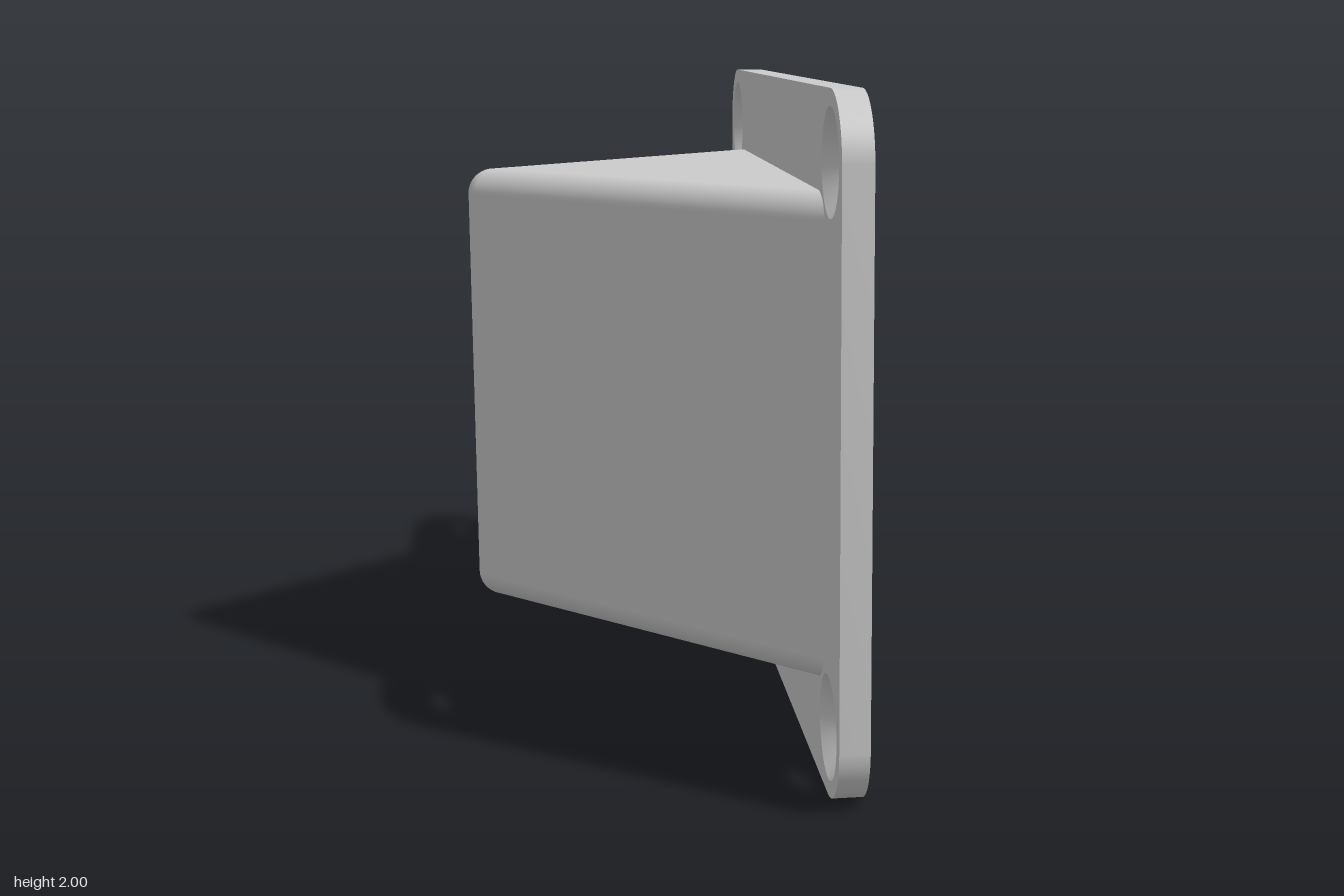
import * as THREE from 'three';
import { toCreasedNormals, mergeGeometries } from 'three/addons/utils/BufferGeometryUtils.js';

const ANGLE = THREE.MathUtils.degToRad(43.7);       // slant of the plate seen from above
const HALF_W = 1.321, HALF_H = 1, T = 0.088;        // plate half sizes and thickness
const CORNER = 0.2, HOLE_R = 0.08, SINK_R = 0.152, SINK_DEPTH = 0.072;
const LEFT = -0.78, FRONT = 0.74, BOTTOM = 0.29, TOP = 1.71, FILLET = 0.08; // wedge body
const BORE = { y: 1, z: 0.06, r: 0.42, depth: 0.33 };

const material = new THREE.MeshStandardMaterial({ color: 0xcccccc, side: THREE.DoubleSide });

function add(parent, name, geometry) {
  const mesh = new THREE.Mesh(geometry, material);
  mesh.name = name;
  parent.add(mesh);
  return mesh;
}

const screwCentres = [];
for (const sx of [-1, 1])
  for (const sy of [-1, 1]) screwCentres.push([sx * (HALF_W - CORNER), sy * (HALF_H - CORNER)]);

// Rounded rectangle, optionally pierced by the four screw holes
function plateShape(holeRadius) {
  const s = new THREE.Shape();
  const x = HALF_W - CORNER, y = HALF_H - CORNER;
  s.absarc(x, y, CORNER, 0, Math.PI / 2);
  s.absarc(-x, y, CORNER, Math.PI / 2, Math.PI);
  s.absarc(-x, -y, CORNER, Math.PI, Math.PI * 1.5);
  s.absarc(x, -y, CORNER, Math.PI * 1.5, Math.PI * 2);
  s.closePath();
  for (const [cx, cy] of screwCentres)
    s.holes.push(new THREE.Path().absarc(cx, cy, holeRadius, 0, Math.PI * 2, true));
  return s;
}

// Outer rim of the plate, swept from back to front
function rimGeometry() {
  const outline = plateShape(HOLE_R).getPoints(16);
  const pos = [];
  outline.forEach((p, i) => {
    const q = outline[(i + 1) % outline.length];
    if (p.distanceTo(q) < 1e-6) return;
    const h = T / 2;
    pos.push(p.x, p.y, -h, q.x, q.y, -h, q.x, q.y, h, p.x, p.y, -h, q.x, q.y, h, p.x, p.y, h);
  });
  const g = new THREE.BufferGeometry();
  g.setAttribute('position', new THREE.Float32BufferAttribute(pos, 3));
  return toCreasedNormals(g, 0.6);
}

function buildPlate() {
  const plate = new THREE.Group();
  plate.name = 'mountingPlate';
  add(plate, 'plateFront', new THREE.ShapeGeometry(plateShape(SINK_R), 24).translate(0, 0, T / 2));
  add(plate, 'plateBack', new THREE.ShapeGeometry(plateShape(HOLE_R), 24).rotateY(Math.PI).translate(0, 0, -T / 2));
  add(plate, 'plateRim', rimGeometry());
  // Countersunk screw holes: cone from the front, short straight bore behind
  const profile = [[SINK_R, T / 2], [HOLE_R, T / 2 - SINK_DEPTH], [HOLE_R, -T / 2]]
    .map(([r, y]) => new THREE.Vector2(r, y));
  const hole = toCreasedNormals(new THREE.LatheGeometry(profile, 48).rotateX(Math.PI / 2), 0.5);
  for (const [x, y] of screwCentres) add(plate, 'screwHole', hole).position.set(x, y, 0);
  plate.position.y = HALF_H;
  plate.rotation.y = -ANGLE;
  return plate;
}

// Where the plate's front face lies in plan
const sin = Math.sin(ANGLE), cos = Math.cos(ANGLE);
const plateZ = x => (x * sin + T / 2) / cos;
const plateX = z => (z * cos - T / 2) / sin;

// Wedge with rounded edges: stacked plan outlines that shrink through the fillets
function wedgeGeometry() {
  const N = 10, pos = [], nor = [], idx = [];
  const levels = [];
  for (let i = 0; i <= N; i++) levels.push([-Math.PI / 2 * (1 - i / N), BOTTOM + FILLET]);
  for (let i = 0; i <= N; i++) levels.push([Math.PI / 2 * i / N, TOP - FILLET]);
  const cols = N + 3;

  const capRow = (y, ny) => {
    for (let j = 0; j < cols; j++) { pos.push(0, y, plateZ(0)); nor.push(0, ny, 0); }
  };
  capRow(BOTTOM, -1);
  for (const [phi, baseY] of levels) {
    const r = FILLET * Math.cos(phi), y = baseY + FILLET * Math.sin(phi);
    const cx = LEFT + FILLET, cz = FRONT - FILLET;
    const put = (x, z, a) => {
      pos.push(x, y, z);
      nor.push(Math.cos(a) * Math.cos(phi), Math.sin(phi), Math.sin(a) * Math.cos(phi));
    };
    put(cx - r, plateZ(cx - r), Math.PI);
    for (let k = 0; k <= N; k++) {
      const a = Math.PI - Math.PI / 2 * k / N;
      put(cx + r * Math.cos(a), cz + r * Math.sin(a), a);
    }
    put(plateX(cz + r), cz + r, Math.PI / 2);
  }
  capRow(TOP, 1);

  for (let i = 0; i < levels.length + 1; i++)
    for (let j = 0; j < cols - 1; j++) {
      if (i === N + 1 && j === 0) continue;         // left wall is made apart, with its bore
      const a = i * cols + j, b = a + 1, c = b + cols, d = a + cols;
      idx.push(a, b, c, a, c, d);
    }
  const g = new THREE.BufferGeometry();
  g.setAttribute('position', new THREE.Float32BufferAttribute(pos, 3));
  g.setAttribute('normal', new THREE.Float32BufferAttribute(nor, 3));
  g.setIndex(idx);
  return g;
}

function buildBody() {
  const body = new THREE.Group();
  body.name = 'wedgeBody';
  add(body, 'wedgeShell', wedgeGeometry());

  // Flat side wall with the round opening
  const z0 = plateZ(LEFT), z1 = FRONT - FILLET, y0 = BOTTOM + FILLET, y1 = TOP - FILLET;
  const wall = new THREE.Shape([[z0, y0], [z1, y0], [z1, y1], [z0, y1]].map(p => new THREE.Vector2(...p)));
  wall.holes.push(new THREE.Path().absarc(BORE.z, BORE.y, BORE.r, 0, Math.PI * 2, true));
  add(body, 'sideWall', new THREE.ShapeGeometry(wall, 32).rotateY(-Math.PI / 2).translate(LEFT, 0, 0));

  // Blind bore: tube and flat floor
  const tube = new THREE.CylinderGeometry(BORE.r, BORE.r, BORE.depth, 64, 1, true)
    .scale(-1, 1, 1).rotateZ(Math.PI / 2).translate(BORE.depth / 2, 0, 0);
  const normals = tube.attributes.normal;
  for (let i = 0; i < normals.count; i++)           // turn the tube's shading inwards
    normals.setXYZ(i, -normals.getX(i), -normals.getY(i), -normals.getZ(i));
  const floor = new THREE.CircleGeometry(BORE.r, 64).rotateY(-Math.PI / 2).translate(BORE.depth, 0, 0);
  add(body, 'bore', mergeGeometries([tube, floor])).position.set(LEFT, BORE.y, BORE.z);
  return body;
}

export function createModel() {
  const model = new THREE.Group();
  model.name = 'angledBracket';
  model.add(buildPlate(), buildBody());
  return model;
}
